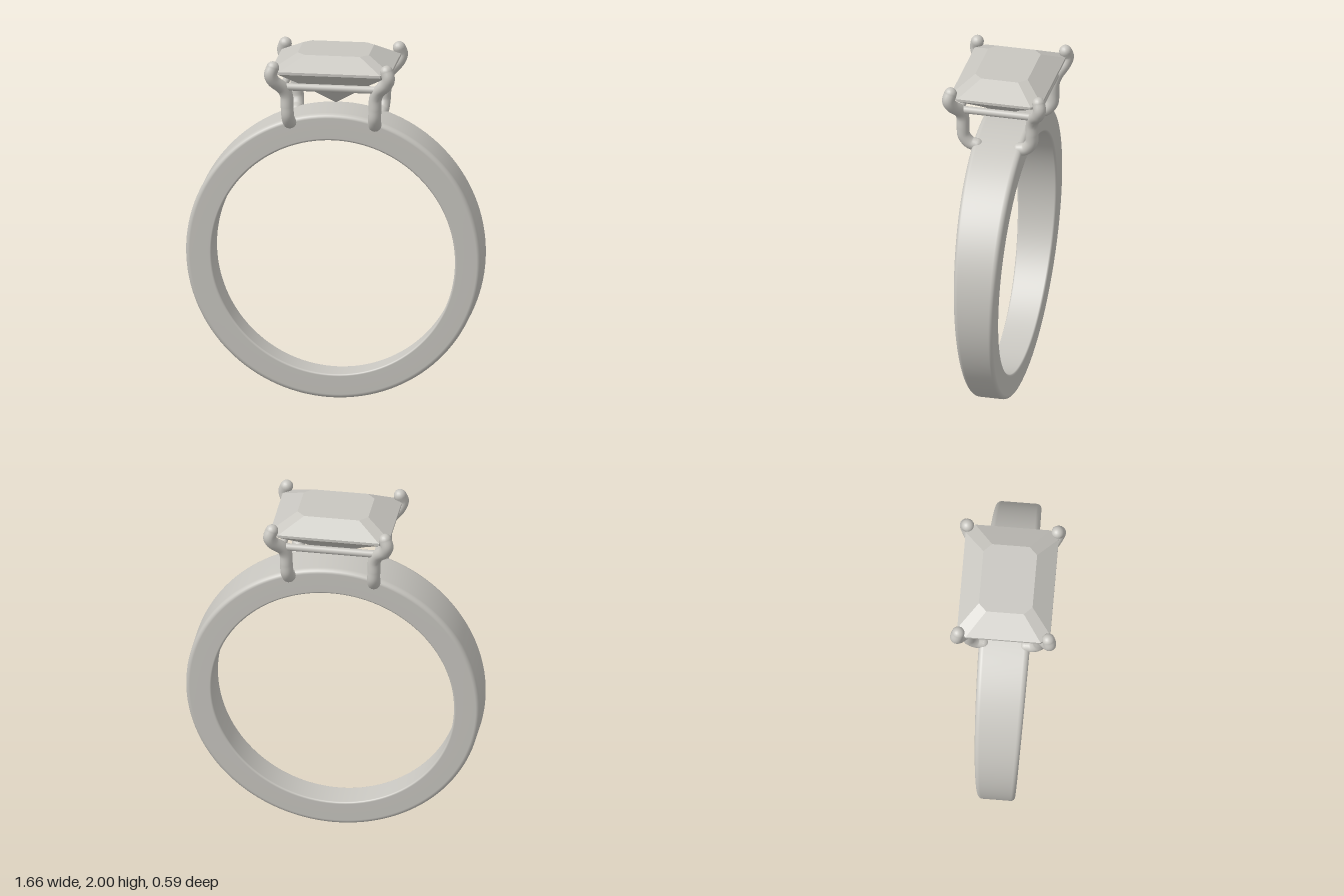
import * as THREE from 'three';
import { mergeVertices } from 'three/addons/utils/BufferGeometryUtils.js';

const metal = new THREE.MeshStandardMaterial({ color: 0xc8c6c0 });
metal.name = 'silver';

function addMesh(parent, name, geometry) {
  const mesh = new THREE.Mesh(geometry, metal);
  mesh.name = name;
  parent.add(mesh);
  return mesh;
}

// Band: rounded section swept round, then widened towards the top
function bandGeometry() {
  const inner = 0.683, outer = 0.83, half = 0.11;
  const profile = [];
  const corner = (r, z, radius, start) => {
    for (let i = 0; i <= 5; i++) {
      const a = start + (i / 5) * Math.PI / 2;
      profile.push(new THREE.Vector2(r + radius * Math.cos(a), z + radius * Math.sin(a)));
    }
  };
  corner(inner + 0.012, -half + 0.012, 0.012, Math.PI);
  corner(outer - 0.024, -half + 0.024, 0.024, -Math.PI / 2);
  corner(outer - 0.024, half - 0.024, 0.024, 0);
  corner(inner + 0.012, half - 0.012, 0.012, Math.PI / 2);
  profile.push(profile[0].clone());

  let g = new THREE.LatheGeometry(profile, 128);
  g.rotateX(Math.PI / 2);
  const p = g.attributes.position;
  for (let i = 0; i < p.count; i++) {
    const x = p.getX(i), y = p.getY(i);
    const t = (Math.hypot(x, y) - inner) / (outer - inner);
    const width = 0.081 + 0.064 * (y + outer) / (2 * outer);
    p.setXYZ(i, x, y + outer - 0.008 * (1 - t), p.getZ(i) * width / half);
  }
  g.deleteAttribute('uv');
  g.deleteAttribute('normal');
  g = mergeVertices(g, 1e-5);
  g.computeVertexNormals();
  return g;
}

// Gem: stacked eight-sided sections [half x, half z, corner cut, y]
function gemGeometry() {
  const sections = [
    [0, 0, 0, 1.69],
    [0.21, 0.152, 0.035, 1.83],
    [0.335, 0.26, 0.05, 1.91],
    [0.335, 0.26, 0.05, 1.925],
    [0.2, 0.15, 0.045, 2.0],
    [0, 0, 0, 2.0],
  ];
  const rings = sections.map(([x, z, c, y]) => [
    [x, z - c], [x - c, z], [-x + c, z], [-x, z - c],
    [-x, -z + c], [-x + c, -z], [x - c, -z], [x, -z + c],
  ].map(([px, pz]) => [px, y, pz]));
  const v = [];
  for (let k = 0; k < rings.length - 1; k++) {
    for (let i = 0; i < 8; i++) {
      const j = (i + 1) % 8;
      const a = rings[k][i], b = rings[k][j], c = rings[k + 1][j], d = rings[k + 1][i];
      if (k > 0) v.push(...a, ...d, ...b);
      if (k < rings.length - 2) v.push(...b, ...d, ...c);
    }
  }
  const g = new THREE.BufferGeometry();
  g.setAttribute('position', new THREE.Float32BufferAttribute(v, 3));
  g.computeVertexNormals();
  return g;
}

// Prong: bent round wire with ball ends
function addProng(parent, sx, sz) {
  const prong = new THREE.Group();
  prong.name = 'prong';
  const radius = 0.036;
  const points = [
    [0.238, 1.602, 0.12], [0.24, 1.612, 0.16], [0.244, 1.655, 0.193],
    [0.247, 1.71, 0.198], [0.25, 1.775, 0.199], [0.268, 1.818, 0.212],
    [0.318, 1.872, 0.249], [0.332, 1.91, 0.261], [0.32, 1.948, 0.252],
  ].map(([x, y, z]) => new THREE.Vector3(x * sx, y, z * sz));
  const path = new THREE.CatmullRomCurve3(points);
  addMesh(prong, 'prongWire', new THREE.TubeGeometry(path, 48, radius, 16));
  for (const end of [points[0], points[points.length - 1]]) {
    addMesh(prong, 'prongEnd', new THREE.SphereGeometry(radius, 16, 12)).position.copy(end);
  }
  parent.add(prong);
}

export function createModel() {
  const ring = new THREE.Group();
  ring.name = 'ring';
  addMesh(ring, 'band', bandGeometry());
  addMesh(ring, 'gem', gemGeometry());

  for (const sx of [-1, 1]) for (const sz of [-1, 1]) addProng(ring, sx, sz);

  // Rails joining the prongs under the gem
  const rx = 0.268, rz = 0.212;
  for (const s of [-1, 1]) {
    const long = addMesh(ring, 'longRail', new THREE.CylinderGeometry(0.021, 0.021, rx * 2, 16));
    long.rotation.z = Math.PI / 2;
    long.position.set(0, 1.829, s * rz);
    const short = addMesh(ring, 'shortRail', new THREE.CylinderGeometry(0.021, 0.021, rz * 2, 16));
    short.rotation.x = Math.PI / 2;
    short.position.set(s * rx, 1.829, 0);
  }
  return ring;
}
